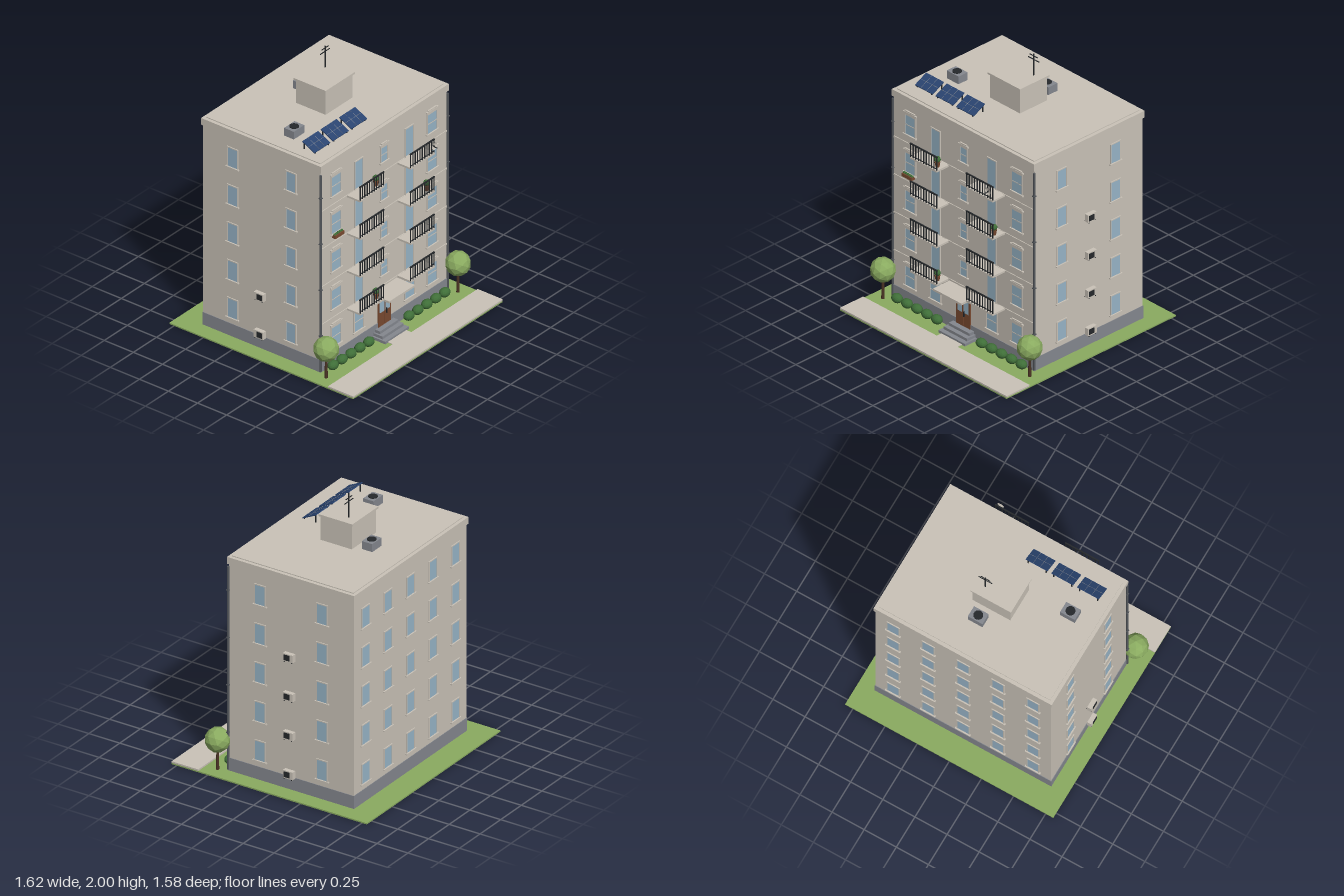
import * as THREE from 'three';

const mat = (name, color, flat = false) => {
  const m = new THREE.MeshStandardMaterial({ color, flatShading: flat });
  m.name = name;
  return m;
};

export function createModel() {
  const M = {
    wall: mat('limestone', 0xcac3b8),
    glass: mat('glass', 0x98b5c8),
    stone: mat('greyStone', 0x85888f),
    grass: mat('leafGreen', 0x8aab60, true),
    shrub: mat('shrubGreen', 0x3f6e38, true),
    wood: mat('doorWood', 0x7a4a30),
    trunk: mat('bark', 0x4b3324),
    metal: mat('blackMetal', 0x25282b),
    pipe: mat('pipeGrey', 0x55595e),
    solar: mat('solarBlue', 0x2a4470),
  };
  const root = new THREE.Group();
  root.name = 'apartmentBuilding';

  const group = (name, x = 0, y = 0, z = 0, ry = 0, parent = root) => {
    const g = new THREE.Group();
    g.name = name;
    g.position.set(x, y, z);
    g.rotation.y = ry;
    parent.add(g);
    return g;
  };
  const add = (parent, name, geo, m, x, y, z) => {
    const mesh = new THREE.Mesh(geo, m);
    mesh.name = name;
    mesh.position.set(x, y, z);
    parent.add(mesh);
    return mesh;
  };
  const box = (p, name, m, w, h, d, x, y, z) => add(p, name, new THREE.BoxGeometry(w, h, d), m, x, y, z);
  // box given by its limits
  const span = (p, name, m, x0, x1, y0, y1, z0, z1) =>
    box(p, name, m, x1 - x0, y1 - y0, z1 - z0, (x0 + x1) / 2, (y0 + y1) / 2, (z0 + z1) / 2);
  const rod = (p, name, m, r, h, x, y, z, n = 10) =>
    add(p, name, new THREE.CylinderGeometry(r, r, h, n), m, x, y, z);

  const FLOOR = 0.296, FRONT = 0.41, BACK = -0.6, SIDE = 0.683;

  // Ground
  span(root, 'lawn', M.grass, -0.81, 0.81, 0, 0.01, -0.79, 0.79);
  span(root, 'pavement', M.wall, -0.81, 0.81, 0.01, 0.022, 0.575, 0.79);
  span(root, 'entrancePath', M.wall, -0.1, 0.1, 0.01, 0.016, 0.41, 0.575);

  // Main volume
  span(root, 'walls', M.wall, -SIDE, SIDE, 0.1, 1.6, BACK, FRONT);
  span(root, 'plinth', M.stone, -0.687, 0.687, 0.01, 0.107, -0.604, 0.414);
  span(root, 'cornice', M.wall, -0.693, 0.693, 1.58, 1.632, -0.61, 0.42);
  span(root, 'roofDeck', M.wall, -0.667, 0.667, 1.62, 1.638, -0.585, 0.395);
  for (let f = 1; f < 5; f++)
    span(root, 'floorBand', M.wall, -SIDE, SIDE, 0.963 + (f - 3) * FLOOR, 0.975 + (f - 3) * FLOOR, 0.4, 0.416);

  // Window facing local +z, centred on its glass
  function addWindow(p, w, h, { sill = true, lintel = false, bar = false } = {}) {
    box(p, 'pane', M.glass, w, h, 0.006, 0, 0, 0.001);
    for (const s of [-1, 1]) box(p, 'frameSide', M.wall, 0.008, h + 0.016, 0.014, s * (w / 2 + 0.004), 0, 0);
    box(p, 'frameTop', M.wall, w, 0.008, 0.014, 0, h / 2 + 0.004, 0);
    if (sill) box(p, 'sill', M.wall, w + 0.034, 0.009, 0.028, 0, -h / 2 - 0.005, 0);
    if (lintel) {
      box(p, 'lintel', M.wall, w + 0.032, 0.011, 0.024, 0, h / 2 + 0.022, 0);
      box(p, 'lintelCap', M.wall, w, 0.009, 0.02, 0, h / 2 + 0.032, 0);
      box(p, 'lintelBase', M.wall, w + 0.016, 0.01, 0.016, 0, h / 2 + 0.012, 0);
    }
    if (bar) box(p, 'crossBar', M.wall, w, 0.006, 0.012, 0, 0, 0);
  }

  for (let f = 0; f < 5; f++) {
    const y = 0.228 + f * FLOOR;
    // Front openings
    for (const s of [-1, 1]) {
      addWindow(group('frontWindow', s * 0.52, y, FRONT), 0.095, 0.147, { lintel: true, bar: true });
      if (f === 0) addWindow(group('frontWindow', s * 0.275, y, FRONT), 0.095, 0.147, { lintel: true, bar: true });
      else addWindow(group('balconyDoor', s * 0.273, y - 0.03, FRONT), 0.08, 0.21, { sill: false });
    }
    if (f > 0) addWindow(group('stairWindow', 0, y - 0.005, FRONT), 0.064, 0.112, { lintel: true, bar: true });
    // Side and back windows
    for (const s of [-1, 1])
      for (const z of [0.157, -0.345])
        addWindow(group('sideWindow', s * SIDE, y, z, s * Math.PI / 2), 0.079, 0.144);
    for (let i = -2; i <= 2; i++)
      addWindow(group('backWindow', i * 0.272, y, BACK, Math.PI), 0.085, 0.144);
  }

  // Potted plant standing on a balcony
  function pottedPlant(x, y) {
    const g = group('pottedPlant', x, y, 0.485);
    add(g, 'pot', new THREE.CylinderGeometry(0.02, 0.014, 0.038, 10), M.wood, 0, 0.019, 0);
    add(g, 'foliage', new THREE.IcosahedronGeometry(0.023, 1), M.shrub, 0, 0.058, 0);
  }

  // Balconies with a front railing
  for (let f = 1; f < 5; f++)
    for (const s of [-1, 1]) {
      const g = group('balcony', s * 0.273, 1.27 + (f - 4) * FLOOR, 0);
      span(g, 'slab', M.wall, -0.13, 0.13, -0.014, 0, 0.4, 0.53);
      box(g, 'handrail', M.metal, 0.264, 0.008, 0.01, 0, 0.104, 0.525);
      box(g, 'lowerRail', M.metal, 0.26, 0.004, 0.006, 0, 0.012, 0.525);
      for (let i = 0; i <= 10; i++)
        box(g, 'baluster', M.metal, 0.006, 0.104, 0.006, -0.127 + i * 0.0254, 0.052, 0.525);
    }
  pottedPlant(-0.18, 1.27);
  pottedPlant(0.37, 1.27 - FLOOR);
  pottedPlant(-0.18, 1.27 - 3 * FLOOR);

  // Satellite dish on the top right railing
  const dish = group('satelliteDish', 0.375, 1.34, 0.55);
  const bowl = add(dish, 'bowl', new THREE.SphereGeometry(0.045, 16, 5, 0, Math.PI * 2, 0, 0.65), M.wall, 0, 0, 0.035);
  bowl.rotation.x = -Math.PI / 2;
  bowl.material = M.wall.clone();
  bowl.material.side = THREE.DoubleSide;
  box(dish, 'arm', M.metal, 0.006, 0.006, 0.03, 0, 0, -0.012);
  box(dish, 'feed', M.metal, 0.005, 0.005, 0.028, 0, -0.006, 0.008);

  // Window box with small plants
  const planter = group('windowBox', -0.52, 1.027, 0.432);
  box(planter, 'trough', M.wood, 0.096, 0.024, 0.03, 0, 0, 0);
  for (let i = -2; i <= 2; i++)
    add(planter, 'sprig', new THREE.IcosahedronGeometry(0.011, 0), M.shrub, i * 0.019, 0.014, 0);

  // Entrance
  const entry = group('entrance');
  span(entry, 'door', M.wood, -0.068, 0.068, 0.07, 0.316, 0.4, 0.418);
  span(entry, 'doorGlass', M.glass, -0.053, 0.053, 0.18, 0.3, 0.417, 0.421);
  span(entry, 'doorMullion', M.wood, -0.004, 0.004, 0.08, 0.3, 0.417, 0.424);
  span(entry, 'doorHandle', M.metal, 0.012, 0.018, 0.155, 0.195, 0.42, 0.43);
  span(entry, 'canopy', M.wall, -0.138, 0.138, 0.352, 0.368, 0.4, 0.568);
  for (let i = 0; i < 3; i++)
    span(entry, 'step', M.stone, -0.128 + i * 0.014, 0.128 - i * 0.014, 0.01, 0.03 + i * 0.021, 0.4, 0.525 - i * 0.034);
  for (const s of [-1, 1]) box(entry, 'lamp', M.metal, 0.02, 0.032, 0.02, s * 0.113, 0.3, 0.418);

  // Downpipes at the front corners
  for (const s of [-1, 1]) {
    rod(root, 'downpipe', M.pipe, 0.008, 1.54, s * 0.688, 0.79, 0.414);
    for (let i = 0; i < 4; i++) box(root, 'pipeClip', M.pipe, 0.02, 0.008, 0.02, s * 0.688, 0.3 + i * 0.36, 0.414);
  }

  // Wall air conditioners, by side and floor
  for (const [s, floors] of [[1, 4], [-1, 2]])
    for (let f = 0; f < floors; f++) {
      const g = group('airConditioner', s * SIDE, 0.136 + f * FLOOR, -0.093, s * Math.PI / 2);
      box(g, 'casing', M.wall, 0.08, 0.058, 0.032, 0, 0, 0.026);
      box(g, 'grille', M.metal, 0.046, 0.042, 0.004, -s * 0.008, 0, 0.042);
      for (const k of [-1, 1]) box(g, 'bracket', M.metal, 0.006, 0.006, 0.042, k * 0.03, -0.032, 0.021);
    }

  // Stair house with antenna
  const house = group('stairHouse');
  span(house, 'walls', M.wall, -0.148, 0.146, 1.63, 1.822, -0.225, 0.028);
  span(house, 'cap', M.wall, -0.16, 0.157, 1.82, 1.835, -0.237, 0.038);
  rod(house, 'mast', M.metal, 0.005, 0.168, 0.083, 1.916, -0.16, 8);
  box(house, 'longAerial', M.metal, 0.106, 0.005, 0.005, 0.083, 1.958, -0.16);
  box(house, 'shortAerial', M.metal, 0.074, 0.005, 0.005, 0.083, 1.985, -0.16);

  // Rooftop ventilators
  for (const [x, z] of [[0.046, -0.32], [-0.476, 0.018]]) {
    const g = group('roofVentilator', x, 1.636, z);
    box(g, 'casing', M.stone, 0.114, 0.062, 0.084, 0, 0.031, 0);
    rod(g, 'fan', M.metal, 0.033, 0.008, 0, 0.064, 0, 20);
  }

  // Tilted solar panels on legs
  for (let i = 0; i < 3; i++) {
    const x = -0.515 + i * 0.2;
    const g = group('solarPanel', x, 1.676, 0.239);
    g.rotation.x = 0.46;
    box(g, 'panel', M.solar, 0.17, 0.007, 0.118, 0, 0, 0);
    for (const k of [-1, 1]) box(g, 'cellLine', M.stone, 0.002, 0.001, 0.116, k * 0.028, 0.004, 0);
    box(g, 'cellLine', M.stone, 0.168, 0.001, 0.002, 0, 0.004, 0);
    for (const k of [-1, 1]) {
      box(root, 'rearLeg', M.metal, 0.007, 0.062, 0.007, x + k * 0.07, 1.667, 0.193);
      box(root, 'frontLeg', M.metal, 0.007, 0.016, 0.007, x + k * 0.07, 1.643, 0.285);
    }
  }

  // Trees and shrubs along the front
  for (const s of [-1, 1]) {
    const tree = group('tree', s * 0.714, 0, 0.482);
    add(tree, 'trunk', new THREE.CylinderGeometry(0.008, 0.012, 0.17, 8), M.trunk, 0, 0.09, 0);
    add(tree, 'crown', new THREE.IcosahedronGeometry(0.09, 1), M.grass, 0, 0.235, 0);
    for (let i = 0; i < 5; i++) {
      const shrub = add(root, 'shrub', new THREE.IcosahedronGeometry(1, 2), M.shrub, s * (0.217 + i * 0.097), 0.048, 0.455);
      shrub.scale.set(0.044, 0.034, 0.036);
    }
  }
  return root;
}
